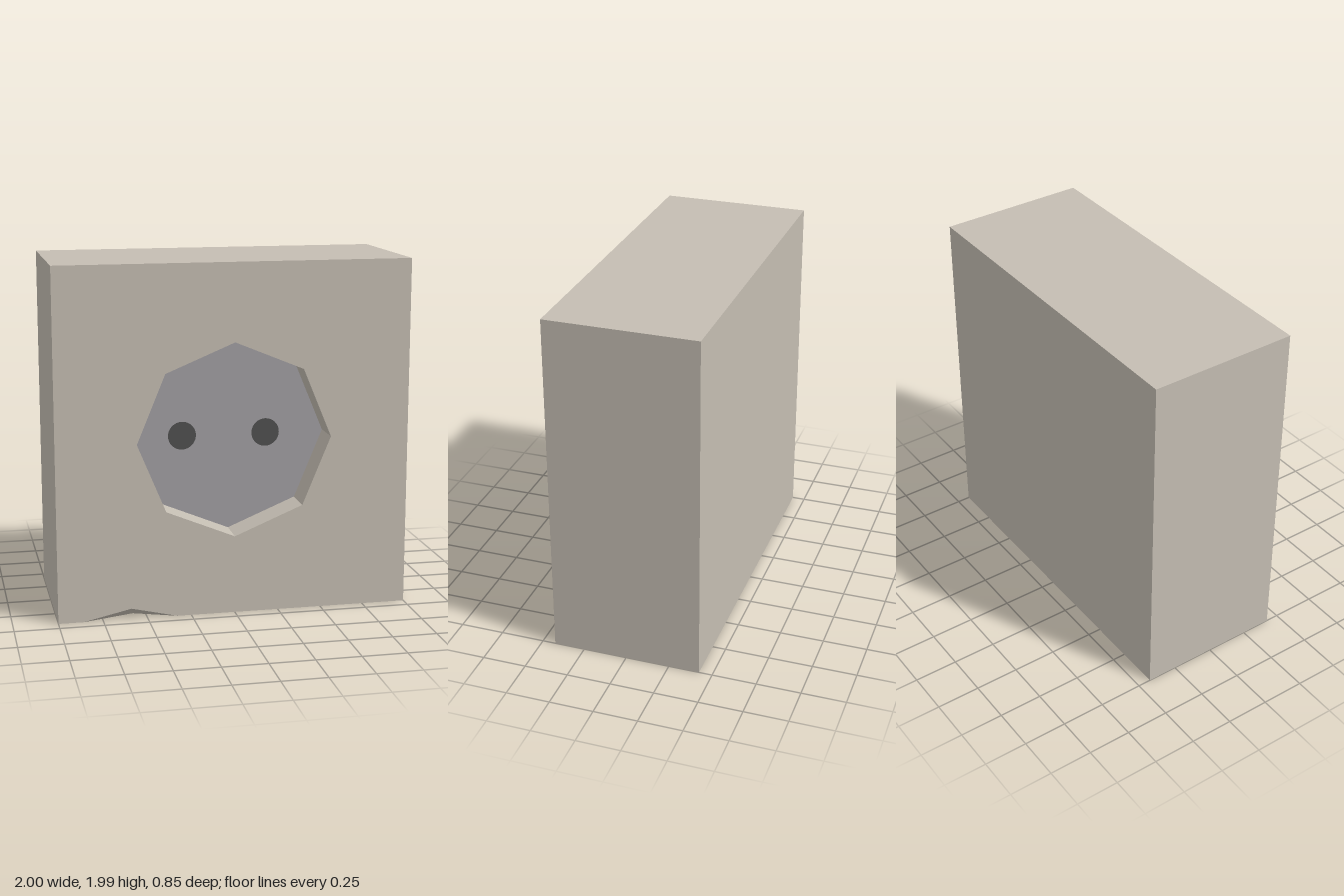
import * as THREE from 'three';
import { mergeGeometries } from 'three/addons/utils/BufferGeometryUtils.js';

const W = 2, H = 1.985, D = 0.85;          // block size
const F = D / 2, CY = 0.995;               // front plane, recess centre height
const R = 0.55, DEPTH = 0.19;              // octagonal recess
const chip = { x0: -0.86, x1: -0.33, peak: [-0.59, 0.06], inner: [-0.57, F - 0.095] };

const shapeFrom = (pts) => new THREE.Shape(pts.map(([x, y]) => new THREE.Vector2(x, y)));

// Turns any geometry into plain flat-faced triangles that can be merged
function facets(geometry) {
  const g = geometry.index ? geometry.toNonIndexed() : geometry;
  g.deleteAttribute('uv');
  g.computeVertexNormals();
  return g;
}

function createBody(material) {
  const group = new THREE.Group();
  group.name = 'body';
  const add = (name, ...geos) => {
    const mesh = new THREE.Mesh(mergeGeometries(geos.map(facets)), material);
    mesh.name = name;
    group.add(mesh);
  };

  // Front face with the octagonal opening and the chipped lower edge
  const front = shapeFrom([[-W / 2, 0], [chip.x0, 0], chip.peak, [chip.x1, 0],
    [W / 2, 0], [W / 2, H], [-W / 2, H]]);
  const opening = new THREE.Path();
  opening.setFromPoints(Array.from({ length: 8 }, (_, i) => {
    const a = -i * Math.PI / 4;
    return new THREE.Vector2(R * Math.cos(a), CY + R * Math.sin(a));
  }));
  front.holes.push(opening);
  add('frontFace', new THREE.ShapeGeometry(front).translate(0, 0, F));

  // Back, sides and top
  add('outerFaces',
    new THREE.PlaneGeometry(W, H).rotateY(Math.PI).translate(0, H / 2, -F),
    new THREE.PlaneGeometry(D, H).rotateY(Math.PI / 2).translate(W / 2, H / 2, 0),
    new THREE.PlaneGeometry(D, H).rotateY(-Math.PI / 2).translate(-W / 2, H / 2, 0),
    new THREE.PlaneGeometry(W, D).rotateX(-Math.PI / 2).translate(0, H, 0));

  // Underside, cut away at the chip
  const bottom = shapeFrom([[-W / 2, -F], [W / 2, -F], [W / 2, F], [chip.x1, F],
    chip.inner, [chip.x0, F], [-W / 2, F]]);
  add('underside', new THREE.ShapeGeometry(bottom).rotateX(Math.PI / 2));

  // Two slanted facets of the chip
  const a = new THREE.Vector3(chip.x0, 0, F);
  const c = new THREE.Vector3(chip.x1, 0, F);
  const p = new THREE.Vector3(...chip.peak, F);
  const i = new THREE.Vector3(chip.inner[0], 0, chip.inner[1]);
  add('edgeChip', new THREE.BufferGeometry().setFromPoints([a, i, p, p, i, c]));

  // Recess walls: an open octagonal tube mirrored so it faces inward
  add('recessWalls', new THREE.CylinderGeometry(R, R, DEPTH, 8, 1, true)
    .rotateX(Math.PI / 2).scale(-1, 1, 1).translate(0, CY, F - DEPTH / 2));
  return group;
}

export function createModel() {
  const casing = new THREE.MeshStandardMaterial({ color: 0xc4bdb2 });
  casing.name = 'warm grey casing';
  const plate = new THREE.MeshStandardMaterial({ color: 0xa19ea2 });
  plate.name = 'cool grey plate';
  const dark = new THREE.MeshStandardMaterial({ color: 0x505050 });
  dark.name = 'dark grey contact';

  const model = new THREE.Group();
  model.name = 'wallSocket';
  model.add(createBody(casing));

  // Recessed octagonal floor
  const floor = new THREE.Mesh(new THREE.CircleGeometry(R, 8), plate);
  floor.name = 'recessFloor';
  floor.position.set(0, CY, F - DEPTH);
  model.add(floor);

  // Pin holes
  for (const [name, x] of [['rightPinHole', -0.265], ['leftPinHole', 0.215]]) {
    const hole = new THREE.Mesh(new THREE.CircleGeometry(0.08, 32), dark);
    hole.name = name;
    hole.position.set(x, CY, F - DEPTH + 0.004);
    model.add(hole);
  }
  return model;
}
